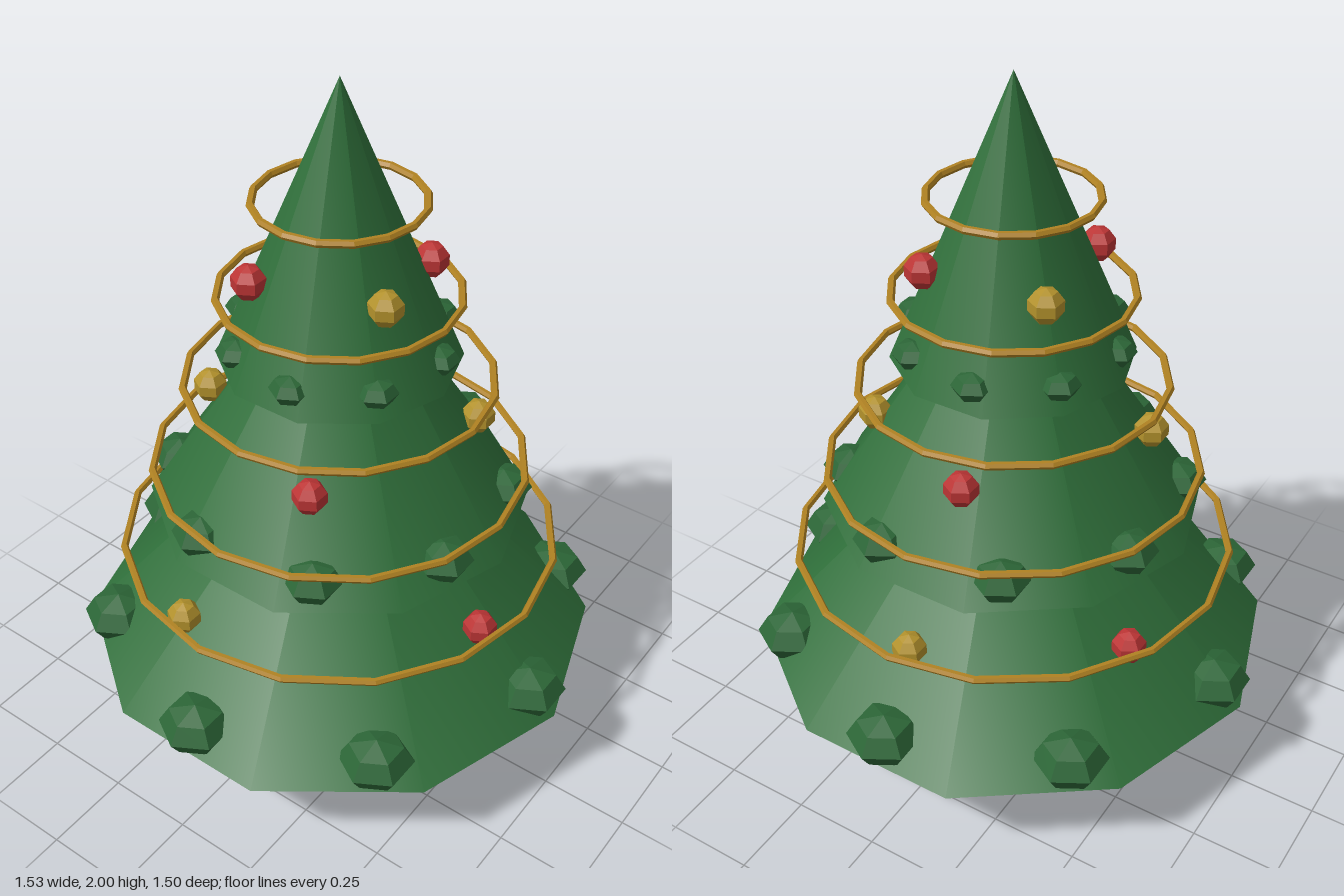
import * as THREE from 'three';

const mat = (name, color, flatShading = false) => {
  const m = new THREE.MeshStandardMaterial({ color, flatShading });
  m.name = name;
  return m;
};

export function createModel() {
  const tree = new THREE.Group();
  tree.name = 'decoratedTree';

  const needles = mat('needleGreen', 0x2f6f3a);
  const tuftGreen = mat('tuftGreen', 0x2c6637, true);
  const bark = mat('barkRed', 0x7e2222, true);
  const goldBand = mat('garlandGold', 0xb08222, true);
  const goldBall = mat('baubleGold', 0xb3922c, true);
  const redBall = mat('baubleRed', 0xbd3535, true);

  const add = (name, geometry, material, x, y, z) => {
    const mesh = new THREE.Mesh(geometry, material);
    mesh.name = name;
    mesh.position.set(x, y, z);
    tree.add(mesh);
    return mesh;
  };

  // Tapered trunk, wider at the top
  add('trunk', new THREE.CylinderGeometry(0.165, 0.134, 0.3, 10), bark, 0, 0.15, 0);

  // Three tiers of foliage, each with a ring of eight tufts near its rim
  const tiers = [
    { base: 0.28, top: 1.1, radius: 0.75, ring: 0.66, size: 0.105, flat: 0.68 },
    { base: 0.745, top: 1.56, radius: 0.54, ring: 0.462, size: 0.082, flat: 0.68 },
    { base: 1.21, top: 2.0, radius: 0.333, ring: 0.285, size: 0.057, flat: 0.66 },
  ];
  tiers.forEach((t, i) => {
    const height = t.top - t.base;
    add('foliageTier', new THREE.ConeGeometry(t.radius, height, 10), needles, 0, t.base + height / 2, 0);
    const tuft = new THREE.SphereGeometry(t.size, 6, 4);
    tuft.scale(1, t.flat, 1);
    for (let k = 0; k < 8; k++) {
      const a = (k / 8) * Math.PI * 2 + i * 0.3;
      add('foliageTuft', tuft, tuftGreen, Math.cos(a) * t.ring, t.base + 0.065, Math.sin(a) * t.ring);
    }
  });

  // Garland hoops, shrinking towards the top
  for (let i = 0; i < 5; i++) {
    const hoop = new THREE.TorusGeometry(0.625 - i * 0.1, 0.011, 6, 16);
    hoop.rotateX(Math.PI / 2);
    add('garland', hoop, goldBand, 0, 0.6 + i * 0.268, 0);
  }

  // Baubles: four on each tier, as [x, z, material]
  const bauble = new THREE.SphereGeometry(0.049, 6, 5);
  const baubleRows = [
    [0.555, [[0.53, 0, goldBall], [-0.07, 0.53, redBall], [-0.52, -0.15, goldBall], [0.21, -0.495, redBall]]],
    [1.02, [[0.375, -0.075, redBall], [0.205, 0.32, goldBall], [-0.345, 0.16, redBall], [-0.12, -0.365, goldBall]]],
    [1.483, [[0.165, 0.173, redBall], [-0.1, 0.215, goldBall], [-0.205, -0.135, redBall], [0.15, -0.187, goldBall]]],
  ];
  for (const [y, row] of baubleRows) {
    for (const [x, z, material] of row) add('bauble', bauble, material, x, y, z);
  }

  return tree;
}
